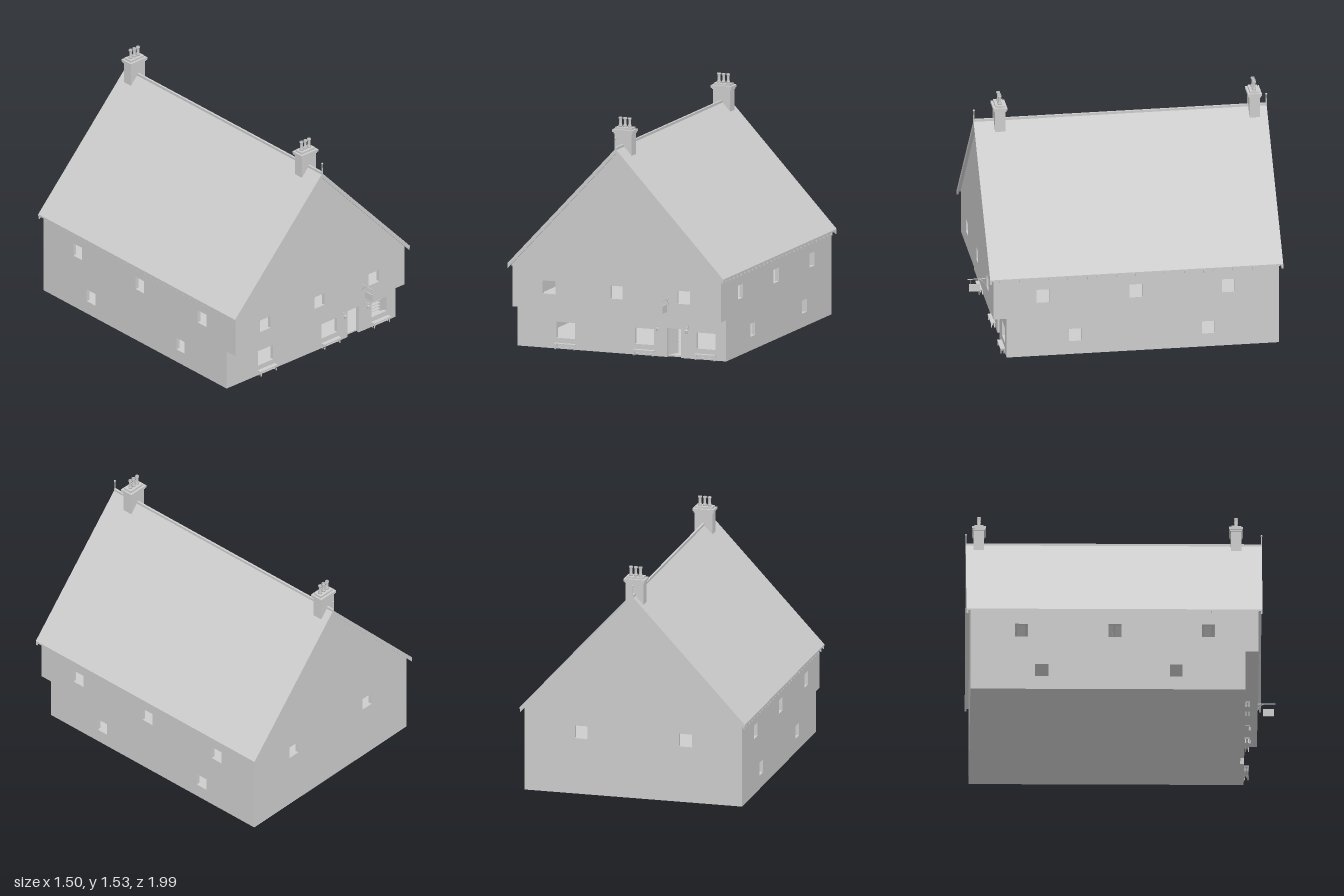
import * as THREE from 'three';

export function createModel() {
  const house = new THREE.Group();
  house.name = 'house';
  const grey = new THREE.MeshStandardMaterial({ color: 0xcccccc });
  grey.name = 'plain grey';

  const add = (name, geo, x = 0, y = 0, z = 0, parent = house) => {
    const m = new THREE.Mesh(geo, grey);
    m.name = name;
    m.position.set(x, y, z);
    parent.add(m);
    return m;
  };
  // box given by its limits
  const block = (name, x0, x1, y0, y1, z0, z1, parent) =>
    add(name, new THREE.BoxGeometry(x1 - x0, y1 - y0, z1 - z0),
      (x0 + x1) / 2, (y0 + y1) / 2, (z0 + z1) / 2, parent);
  const group = (name, x, y, z) => {
    const g = new THREE.Group();
    g.name = name;
    g.position.set(x, y, z);
    house.add(g);
    return g;
  };
  const shapeOf = pts => new THREE.Shape(pts.map(p => new THREE.Vector2(...p)));
  // wall panel: outline plus rectangular openings [x0, x1, y0, y1]
  const panel = (pts, openings, depth) => {
    const s = shapeOf(pts);
    for (const [a, b, c, d] of openings)
      s.holes.push(new THREE.Path([[a, c], [a, d], [b, d], [b, c]].map(p => new THREE.Vector2(...p))));
    return new THREE.ExtrudeGeometry(s, { depth, bevelEnabled: false });
  };

  const W = 0.725, T = 0.025, JETTY = 0.27, SLOPE = 0.8 / 0.75;
  const roofY = x => 1.355 - SLOPE * Math.abs(x);
  const eave = roofY(W) - 0.012, apex = roofY(0) - 0.012;

  // gable walls and ground floor front
  const gable = y0 => [[-W, y0], [W, y0], [W, eave], [0, apex], [-W, eave]];
  add('frontGableWall', panel(gable(JETTY),
    [[-0.515, -0.425, 0.37, 0.455], [-0.045, 0.04, 0.37, 0.455], [0.42, 0.51, 0.37, 0.455]], T), 0, 0, 0.86);
  add('backGableWall', panel(gable(0),
    [[-0.39, -0.305, 0.37, 0.455], [0.305, 0.39, 0.37, 0.455]], T), 0, 0, -0.965);
  add('lowerFrontWall', panel(
    [[-W, 0], [0.315, 0], [0.315, 0.19], [0.41, 0.19], [0.41, 0], [W, 0], [W, JETTY], [-W, JETTY]],
    [[-0.455, -0.325, 0.07, 0.175], [0.09, 0.225, 0.07, 0.175], [0.52, 0.65, 0.07, 0.175]], T), 0, 0, 0.775);

  // side walls with jettied upper floor
  const sideOutline = [[-0.94, 0], [0.775, 0], [0.775, JETTY], [0.86, JETTY], [0.86, eave], [-0.94, eave]];
  const sideWindows = [[0.52, 0.605, 0.37, 0.46], [-0.08, 0.005, 0.37, 0.46], [-0.68, -0.595, 0.37, 0.46],
    [0.315, 0.395, 0.09, 0.175], [-0.55, -0.465, 0.09, 0.175]];
  for (const [name, x] of [['leftWall', W], ['rightWall', -W + T]])
    add(name, panel(sideOutline, sideWindows, T), x, 0, 0).rotation.y = -Math.PI / 2;

  // floors
  block('groundFloor', -W + T, W - T, 0, 0.01, -0.94, 0.775);
  block('upperFloor', -W + T, W - T, JETTY, JETTY + 0.015, -0.94, 0.86);

  // roof covering, ridge and rafters
  const chevron = (half, top, thick, depth) => {
    const y = x => roofY(x) - top;
    return panel([[-half, y(half) - thick], [0, y(0) - thick], [half, y(half) - thick],
      [half, y(half)], [0, y(0)], [-half, y(half)]], [], depth);
  };
  add('roof', chevron(0.75, 0, 0.012, 1.9), 0, 0, -0.99);
  block('ridge', -0.007, 0.007, 1.34, 1.363, -0.99, 0.91);
  const rafter = chevron(0.748, 0.012, 0.022, 0.012);
  for (let i = 0; i < 31; i++) {
    const z = -0.99 + i * (1.888 / 30);
    add('rafter', rafter, 0, 0, z);
    if (i > 0 && i < 30) block('ceilingJoist', -W + T, W - T, 0.52, 0.54, z, z + 0.012);
  }

  // finials on both gable ends
  for (const z of [0.908, -0.988]) {
    add('finialPost', new THREE.CylinderGeometry(0.003, 0.004, 0.08, 8), 0, 1.385, z);
    add('finialBall', new THREE.SphereGeometry(0.007, 10, 8), 0, 1.424, z);
  }

  // chimneys with stepped caps and three pots
  const potProfile = [[0.008, 0], [0.013, 0], [0.013, 0.01], [0.009, 0.018], [0.009, 0.048],
    [0.013, 0.054], [0.013, 0.062], [0.008, 0.062], [0.008, 0]];
  const pot = new THREE.LatheGeometry(potProfile.map(p => new THREE.Vector2(...p)), 14);
  for (const z of [0.745, -0.905]) {
    const c = group('chimney', 0, 0, z);
    block('stack', -0.06, 0.06, 1.28, 1.43, -0.034, 0.034, c);
    block('capLower', -0.065, 0.065, 1.43, 1.44, -0.039, 0.039, c);
    block('capSlab', -0.071, 0.071, 1.44, 1.457, -0.045, 0.045, c);
    block('capUpper', -0.058, 0.058, 1.457, 1.47, -0.03, 0.03, c);
    for (const x of [-0.032, 0, 0.032]) add('chimneyPot', pot, x, 1.47, 0, c);
  }

  // door standing open inwards
  const door = group('door', 0.316, 0, 0.775);
  door.rotation.y = 1.25;
  block('doorLeaf', 0, 0.094, 0.01, 0.188, -0.008, 0, door);
  add('doorKnob', new THREE.SphereGeometry(0.004, 8, 6), 0.082, 0.09, 0.003, door);

  // benches under the front windows
  for (const x of [-0.387, 0.16, 0.586]) {
    const b = group('bench', x, 0, 0.816);
    block('benchSeat', -0.074, 0.074, 0.031, 0.038, -0.015, 0.015, b);
    block('benchRail', -0.06, 0.06, 0.012, 0.016, -0.003, 0.003, b);
    for (const s of [-1, 1]) for (const z of [-0.01, 0.01]) {
      const leg = block('benchLeg', -0.003, 0.003, 0, 0.031, z - 0.003, z + 0.003, b);
      leg.position.x = s * 0.063;
      leg.rotation.z = s * 0.15;
    }
  }

  // lanterns beside the door
  for (const x of [0.262, 0.462]) {
    const l = group('lantern', x, 0, 0.836);
    add('lanternBody', new THREE.CylinderGeometry(0.009, 0.007, 0.022, 6), 0, 0.179, 0, l);
    add('lanternRoof', new THREE.ConeGeometry(0.011, 0.009, 6), 0, 0.194, 0, l);
    block('lanternHook', -0.0015, 0.0015, 0.195, 0.203, -0.0015, 0.0015, l);
    block('lanternArm', -0.002, 0.002, 0.2, 0.204, -0.037, 0.002, l);
    block('lanternPlate', -0.003, 0.003, 0.188, 0.22, -0.037, -0.033, l);
  }

  // hanging sign on a scrolled bracket
  const sign = group('hangingSign', 0.36, 0, 0);
  block('signArm', -0.002, 0.002, 0.4, 0.405, 0.884, 1, sign);
  block('signBoard', -0.003, 0.003, 0.318, 0.368, 0.92, 0.992, sign);
  for (const z of [0.93, 0.982]) block('signHanger', -0.001, 0.001, 0.366, 0.402, z - 0.001, z + 0.001, sign);
  const brace = new THREE.QuadraticBezierCurve3(new THREE.Vector3(0, 0.35, 0.884),
    new THREE.Vector3(0, 0.385, 0.89), new THREE.Vector3(0, 0.4, 0.925));
  add('signBrace', new THREE.TubeGeometry(brace, 8, 0.0015, 6), 0, 0, 0, sign);

  // shelves inside the front room
  const shelf = group('shelves', 0, 0, 0);
  for (const x of [0.61, 0.692]) block('shelfSide', x, x + 0.004, 0.01, 0.18, 0.65, 0.69, shelf);
  for (let i = 0; i < 8; i++) block('shelfBoard', 0.612, 0.694, 0.025 + i * 0.021, 0.029 + i * 0.021, 0.65, 0.69, shelf);

  return house;
}
